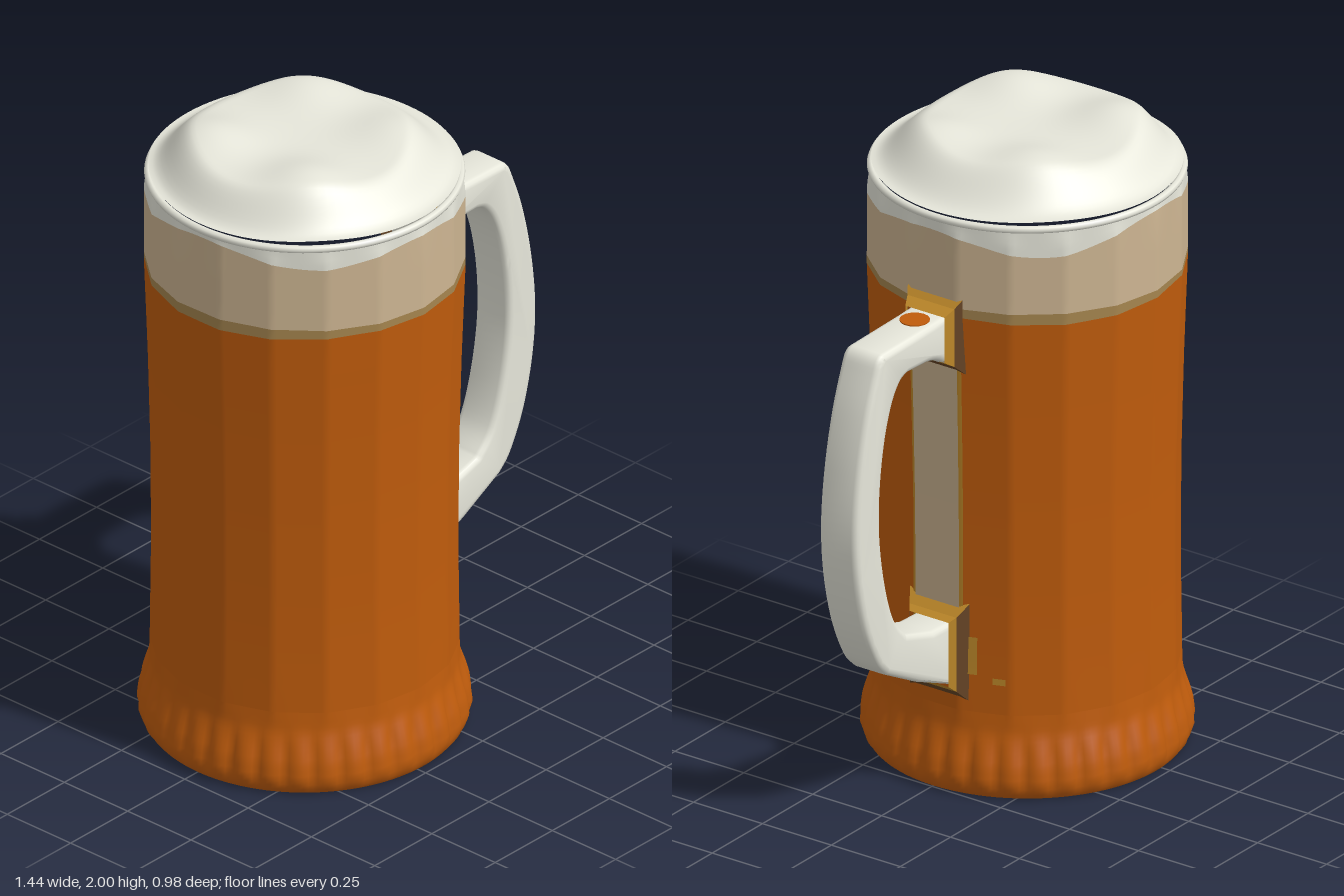
import * as THREE from 'three';
import { toCreasedNormals } from 'three/addons/utils/BufferGeometryUtils.js';

const CX = -0.225;      // mug axis
const SIDES = 18;       // soft facets of the glass
const FLUTES = 36;      // scallops round the foot
const TAU = Math.PI * 2;
const DEG = Math.PI / 180;

const mat = (name, color, side = THREE.FrontSide) => {
  const m = new THREE.MeshStandardMaterial({ color, side });
  m.name = name;
  return m;
};

// Apothem of the glass at each height
const PROFILE = [
  [0, 0.468], [0.015, 0.48], [0.05, 0.487], [0.1, 0.481], [0.15, 0.468], [0.2, 0.455], [0.26, 0.449],
  [0.4, 0.446], [0.6, 0.444], [0.9, 0.446], [1.2, 0.453], [1.4, 0.46], [1.53, 0.465], [1.85, 0.464],
];
function profile(y) {
  let i = 1;
  while (i < PROFILE.length - 1 && PROFILE[i][0] < y) i++;
  const [y0, r0] = PROFILE[i - 1], [y1, r1] = PROFILE[i];
  return r0 + (r1 - r0) * THREE.MathUtils.clamp((y - y0) / (y1 - y0), 0, 1);
}

// Radius of the faceted, fluted glass; a facet centre faces the handle
function glassRadius(a, y) {
  const step = TAU / SIDES;
  const local = a - Math.round(a / step) * step;
  const facet = THREE.MathUtils.smoothstep(y, 0.15, 0.3) * (1 - THREE.MathUtils.smoothstep(y, 1.78, 1.84));
  const flute = THREE.MathUtils.smoothstep(y, 0, 0.06) * (1 - THREE.MathUtils.smoothstep(y, 0.12, 0.22));
  const bump = Math.abs(Math.cos(a * FLUTES / 2)) - 0.55;
  return profile(y) * (1 + facet * (1 / Math.cos(local) - 1)) + 0.014 * flute * bump;
}

// Surface from rows of points; point(a, t) gives [radius, y]
function ringSurface(point, rows, a0 = 0, a1 = TAU, segments = 216) {
  const closed = a1 - a0 > TAU - 0.001;
  const cols = closed ? segments : segments + 1;
  const pos = [], index = [];
  for (let j = 0; j <= rows; j++) {
    for (let i = 0; i < cols; i++) {
      const a = a0 + (a1 - a0) * i / segments;
      const [r, y] = point(a, j / rows);
      pos.push(CX + r * Math.cos(a), y, r * Math.sin(a));
    }
  }
  for (let j = 0; j < rows; j++) {
    for (let i = 0; i < segments; i++) {
      const k = (i + 1) % cols;
      const p = j * cols + i, q = j * cols + k, s = p + cols, t = q + cols;
      index.push(p, s, q, q, s, t);
    }
  }
  const g = new THREE.BufferGeometry();
  g.setAttribute('position', new THREE.Float32BufferAttribute(pos, 3));
  g.setIndex(index);
  g.computeVertexNormals();
  return g;
}

// Lower edge of the foam seen through the glass
const foamEdge = a => 1.785 + 0.024 * Math.cos(4 * a) - 0.009 * Math.cos(a) + 0.006 * Math.sin(3 * a);

// Height of the foam cap at a point measured from the mug axis
function foamHeight(x, z) {
  const r = Math.hypot(x, z);
  const edge = 0.14 + 0.03 * x / 0.45;
  let y = 1.858 + 0.092 * THREE.MathUtils.smoothstep((0.45 - r) / edge, 0, 1);
  for (const [lx, lz, h] of [[-0.2, -0.19, 0.047], [-0.2, 0.19, 0.045], [0.2, -0.17, 0.038], [0.2, 0.19, 0.036]]) {
    y += h * Math.exp(-(((x - lx) / 0.13) ** 2) - ((z - lz) / 0.15) ** 2);
  }
  return y;
}

// Four-sided flare from the wall to the handle; sections are [x, yLow, yHigh, halfZ]
function flare(sections, mats) {
  const pos = [];
  const g = new THREE.BufferGeometry();
  const corners = ([x, lo, hi, h]) => [[x, lo, h], [x, hi, h], [x, hi, -h], [x, lo, -h]];
  for (let s = 0; s < sections.length - 1; s++) {
    const A = corners(sections[s]), B = corners(sections[s + 1]);
    for (let k = 0; k < 4; k++) {
      const n = (k + 1) % 4;
      g.addGroup(pos.length / 3, 6, s > 0 || k === 1 ? 1 : 0);
      for (const p of [A[k], B[k], A[n], A[n], B[k], B[n]]) pos.push(...p);
    }
  }
  g.setAttribute('position', new THREE.Float32BufferAttribute(pos, 3));
  g.computeVertexNormals();
  return new THREE.Mesh(g, mats);
}

export function createModel() {
  const model = new THREE.Group();
  model.name = 'beerMug';
  const beer = mat('amber beer', 0xc05c0c);
  const white = mat('foam white', 0xe6e6da);
  const beige = mat('pale foam beige', 0xcdb592);
  const tan = mat('dark tan', 0xa5854f);
  const mustard = mat('mustard', 0xc08a2a, THREE.DoubleSide);
  const brown = mat('dark brown', 0x684626, THREE.DoubleSide);

  const add = (name, geometry, material) => {
    const m = new THREE.Mesh(geometry, material);
    m.name = name;
    model.add(m);
    return m;
  };
  // Band of the glass between two heights, which may vary with the angle
  const band = (name, material, low, high, rows) => add(name, ringSurface((a, t) => {
    const y = low(a) + (high(a) - low(a)) * t;
    return [glassRadius(a, y), y];
  }, rows), material);

  // Glass, from the fluted foot up to the rim
  const beerTop = a => 1.535 + 0.004 * Math.cos(3 * a);
  const tanTop = a => 1.562 + 0.006 * Math.cos(2 * a + 1);
  band('flutedFoot', beer, () => 0, () => 0.26, 16);
  band('beerBody', beer, () => 0.26, beerTop, 16);
  band('beerLine', tan, beerTop, tanTop, 1);
  band('paleFoamBand', beige, tanTop, foamEdge, 4);
  band('foamBand', white, foamEdge, () => 1.835, 4);
  add('base', ringSurface((a, t) => [glassRadius(a, 0) * t, 0], 1), beer);

  // Rim and lumpy foam cap
  const rim = new THREE.TorusGeometry(0.459, 0.012, 8, 96);
  rim.rotateX(Math.PI / 2).translate(CX, 1.84, 0);
  add('rim', rim, white);
  add('foamCap', ringSurface((a, t) => {
    const r = 0.459 * (1 - t);
    return [r, foamHeight(r * Math.cos(a), r * Math.sin(a))];
  }, 36, 0, TAU, 96), white);

  // Handle: curved outline with rounded edges
  const outer = [[0.61, 1.505], [0.66, 1.37], [0.7, 1.2], [0.72, 1.02], [0.71, 0.85], [0.67, 0.68], [0.61, 0.55], [0.56, 0.495]];
  const inner = [[0.46, 0.59], [0.52, 0.66], [0.565, 0.79], [0.592, 0.95], [0.592, 1.1], [0.57, 1.25], [0.535, 1.36], [0.495, 1.42], [0.455, 1.436]];
  const v = list => list.map(p => new THREE.Vector2(...p));
  const shape = new THREE.Shape();
  shape.moveTo(0.22, 1.55);
  shape.lineTo(0.33, 1.545);
  shape.lineTo(0.575, 1.54);
  shape.quadraticCurveTo(0.598, 1.535, 0.61, 1.505);
  shape.splineThru(v(outer.slice(1)));
  shape.lineTo(0.4, 0.41);
  shape.lineTo(0.2, 0.325);
  shape.lineTo(0.2, 0.545);
  shape.lineTo(0.33, 0.55);
  shape.lineTo(0.46, 0.59);
  shape.splineThru(v(inner.slice(1)));
  shape.lineTo(0.36, 1.432);
  shape.quadraticCurveTo(0.31, 1.425, 0.28, 1.4);
  shape.lineTo(0.22, 1.4);
  shape.closePath();
  const bevel = 0.02, depth = 0.138;
  const handle = new THREE.ExtrudeGeometry(shape, {
    depth: depth - 2 * bevel, bevelEnabled: true, bevelSize: bevel, bevelOffset: -bevel,
    bevelThickness: bevel, bevelSegments: 3, curveSegments: 5,
  });
  handle.translate(0, 0, -depth / 2 + bevel);
  add('handle', toCreasedNormals(handle, 0.6), white);

  // Flared joints where the handle meets the glass
  const top = flare([[0.225, 1.355, 1.607, 0.105], [0.255, 1.385, 1.572, 0.085], [0.285, 1.405, 1.552, 0.071]], [brown, mustard]);
  top.name = 'upperHandleJoint';
  const bottom = flare([[0.21, 0.29, 0.605, 0.108], [0.245, 0.328, 0.568, 0.085], [0.265, 0.347, 0.555, 0.071]], [brown, mustard]);
  bottom.name = 'lowerHandleJoint';
  model.add(top, bottom);
  const spot = new THREE.CylinderGeometry(0.045, 0.045, 0.005, 20);
  spot.translate(0.335, 1.545, 0);
  add('handleTopSpot', spot, beer);

  // Thin patches on the wall behind the handle
  const patch = (name, material, a0, a1, y0, y1, lift) => add(name, ringSurface((a, t) => {
    const y = y0 + (y1 - y0) * t;
    return [glassRadius(a, y) + lift, y];
  }, 8, a0 * DEG, a1 * DEG, 12), material);
  patch('stripeBorder', mustard, -11.5, 11.5, 0.42, 1.38, 0.002);
  patch('paleStripe', beige, -10, 10, 0.5, 1.4, 0.004);
  patch('sideSpot', mustard, -17, -12, 0.38, 0.5, 0.003);
  patch('smallSpot', mustard, 22, 27, 0.35, 0.37, 0.003);
  patch('smallSpot', mustard, -28, -23, 0.355, 0.375, 0.003);

  return model;
}
